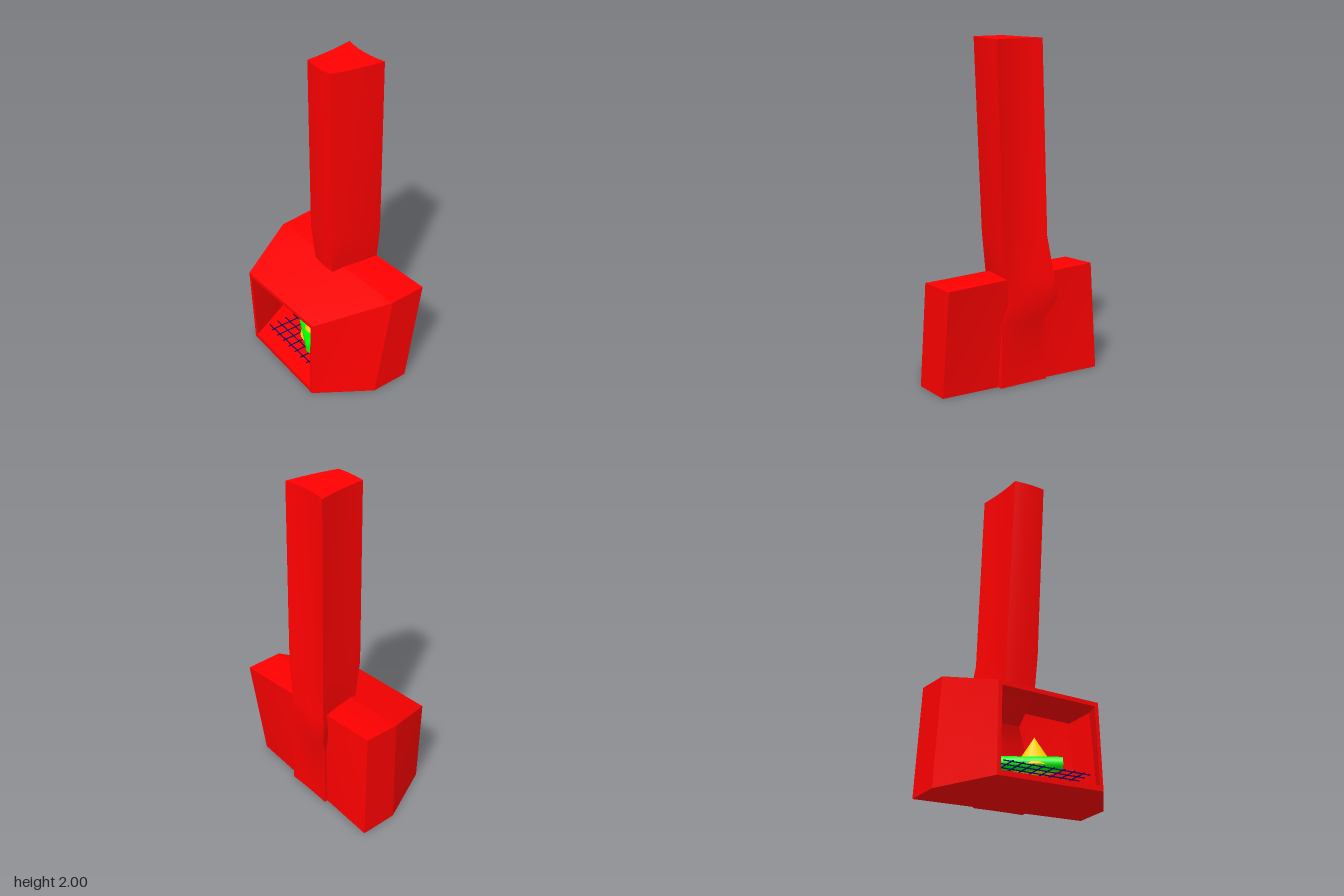
import * as THREE from 'three';
import { toCreasedNormals } from 'three/addons/utils/BufferGeometryUtils.js';

const material = (color) => new THREE.MeshStandardMaterial({ color });

// Flat polygons (corners counter-clockwise from outside) to a geometry, soft below the crease angle
function polygons(faces, crease) {
  const pos = [];
  for (const f of faces)
    for (let i = 1; i < f.length - 1; i++) pos.push(...f[0], ...f[i], ...f[i + 1]);
  const g = new THREE.BufferGeometry();
  g.setAttribute('position', new THREE.Float32BufferAttribute(pos, 3));
  return toCreasedNormals(g, crease);
}

// Side walls between two rings, from side number `first` on
function walls(low, high, first = 0) {
  const faces = [];
  for (let i = first; i < low.length; i++) {
    const j = (i + 1) % low.length;
    faces.push([low[i], low[j], high[j], high[i]]);
  }
  return faces;
}

// Turn a face round, keeping its first corner so that it is cut along the same diagonal
const flip = ([first, ...rest]) => [first, ...rest.reverse()];

const mix = (p, q, t) => p.map((v, i) => v + (q[i] - v) * t);

// Split a twisted quad into a smooth n by n patch
function patch([a, b, c, d], n = 8) {
  const point = (i, j) => mix(mix(a, b, i / n), mix(d, c, i / n), j / n);
  const faces = [];
  for (let i = 0; i < n; i++)
    for (let j = 0; j < n; j++)
      faces.push([point(i, j), point(i + 1, j), point(i + 1, j + 1), point(i, j + 1)]);
  return faces;
}

// Six-sided hearth, open towards -x, with a sloping canopy
function hearthGeometry() {
  const bottom = [[-0.315, 0, -0.33], [-0.33, 0, 0.31], [-0.01, 0, 0.515],
    [0.23, 0, 0.51], [0.295, 0, -0.535], [0.06, 0, -0.525]];
  const top = [[-0.337, 0.52, -0.338], [-0.315, 0.515, 0.3], [0.09, 0.65, 0.533],
    [0.325, 0.65, 0.522], [0.26, 0.65, -0.513], [0.03, 0.64, -0.5]];
  const inset = (ring, dy) => ring.map(([x, y, z], i) => [i < 2 ? x : x * 0.93, y + dy, z * 0.93]);
  const innerBottom = inset(bottom, 0.03), innerTop = inset(top, -0.025);
  const shell = (b, t) => [
    ...walls(b, t, 1).flatMap((quad) => patch(quad)),
    ...patch([t[0], t[1], t[2], t[5]]), [t[2], t[3], t[4], t[5]], flip(b),
  ];
  // Rim around the opening
  const o = [bottom[0], bottom[1], top[1], top[0]];
  const n = [innerBottom[0], innerBottom[1], innerTop[1], innerTop[0]];
  return polygons([...shell(bottom, top), ...shell(innerBottom, innerTop).map(flip), ...walls(o, n)], 0.3);
}

// Chimney: four bowed sides lofted through sections
function chimneyGeometry() {
  // y, then corners (-x-z), (-x+z), (+x+z), (+x-z), then bow of the +x side
  const sections = [
    [0, [0.25, -0.165], [0.24, 0.15], [0.285, 0.15], [0.293, -0.165], -0.003],
    [0.38, [0.25, -0.165], [0.25, 0.145], [0.286, 0.145], [0.286, -0.165], -0.001],
    [0.5, [0.2, -0.165], [0.2, 0.08], [0.297, 0.1], [0.335, -0.212], 0.008],
    [0.63, [0.005, -0.112], [-0.002, 0.07], [0.302, 0.115], [0.322, -0.195], -0.006],
    [0.87, [-0.02, -0.122], [-0.017, 0.085], [0.297, 0.145], [0.294, -0.162], -0.02],
    [2, [-0.057, -0.09], [-0.056, 0.112], [0.268, 0.172], [0.265, -0.138], -0.02],
  ];
  const steps = 6;
  const rings = sections.map(([y, a, b, c, d, bow]) => {
    const corners = [a, b, c, d];
    const bows = [0.007, 0.008, bow, -0.008];
    const ring = [];
    corners.forEach((p, i) => {
      const q = corners[(i + 1) % 4];
      const dx = q[0] - p[0], dz = q[1] - p[1], len = Math.hypot(dx, dz);
      // Short sides at the foot stay straight
      const size = len < 0.05 ? 0 : bows[i];
      for (let k = 0; k < steps; k++) {
        const t = k / steps, h = 4 * t * (1 - t) * size;
        ring.push([p[0] + dx * t - dz / len * h, y, p[1] + dz * t + dx / len * h]);
      }
    });
    return ring;
  });
  // Cap as a fan about the middle of the ring
  const cap = (ring) => {
    const middle = [0, 1, 2].map((axis) => ring.reduce((sum, p) => sum + p[axis], 0) / ring.length);
    return ring.map((p, i) => [middle, p, ring[(i + 1) % ring.length]]);
  };
  const faces = [...cap(rings[rings.length - 1]), ...cap(rings[0]).map(flip)];
  for (let i = 0; i < rings.length - 1; i++) faces.push(...walls(rings[i], rings[i + 1]));
  return polygons(faces, 0.6);
}

export function createModel() {
  const model = new THREE.Group();
  const red = material(0xff0000);
  const add = (name, geometry, mat, parent = model) => {
    const mesh = new THREE.Mesh(geometry, mat);
    mesh.name = name;
    parent.add(mesh);
    return mesh;
  };

  add('hearth', hearthGeometry(), red);
  add('chimney', chimneyGeometry(), red);

  // Grate of thin crossing bars
  const grate = new THREE.Group();
  grate.name = 'grate';
  model.add(grate);
  const navy = material(0x0a0a66);
  for (let i = 0; i < 6; i++)
    add('longBar', new THREE.BoxGeometry(0.005, 0.005, 0.54), navy, grate)
      .position.set(-0.25 + i * 0.06, 0.11, 0.01);
  for (let i = 0; i < 8; i++)
    add('crossBar', new THREE.BoxGeometry(0.34, 0.005, 0.005), navy, grate)
      .position.set(-0.1, 0.11, -0.21 + i * 0.063);

  // Log lying across the grate
  const log = add('log', new THREE.CylinderGeometry(0.04, 0.04, 0.37, 20), material(0x00ff00));
  log.position.set(-0.115, 0.165, -0.03);
  log.quaternion.setFromUnitVectors(new THREE.Vector3(0, 1, 0), new THREE.Vector3(-0.45, 0, 0.89).normalize());

  // Flame behind the log
  add('flame', new THREE.ConeGeometry(0.12, 0.19, 20), material(0xffd000)).position.set(-0.07, 0.245, 0.03);

  return model;
}
